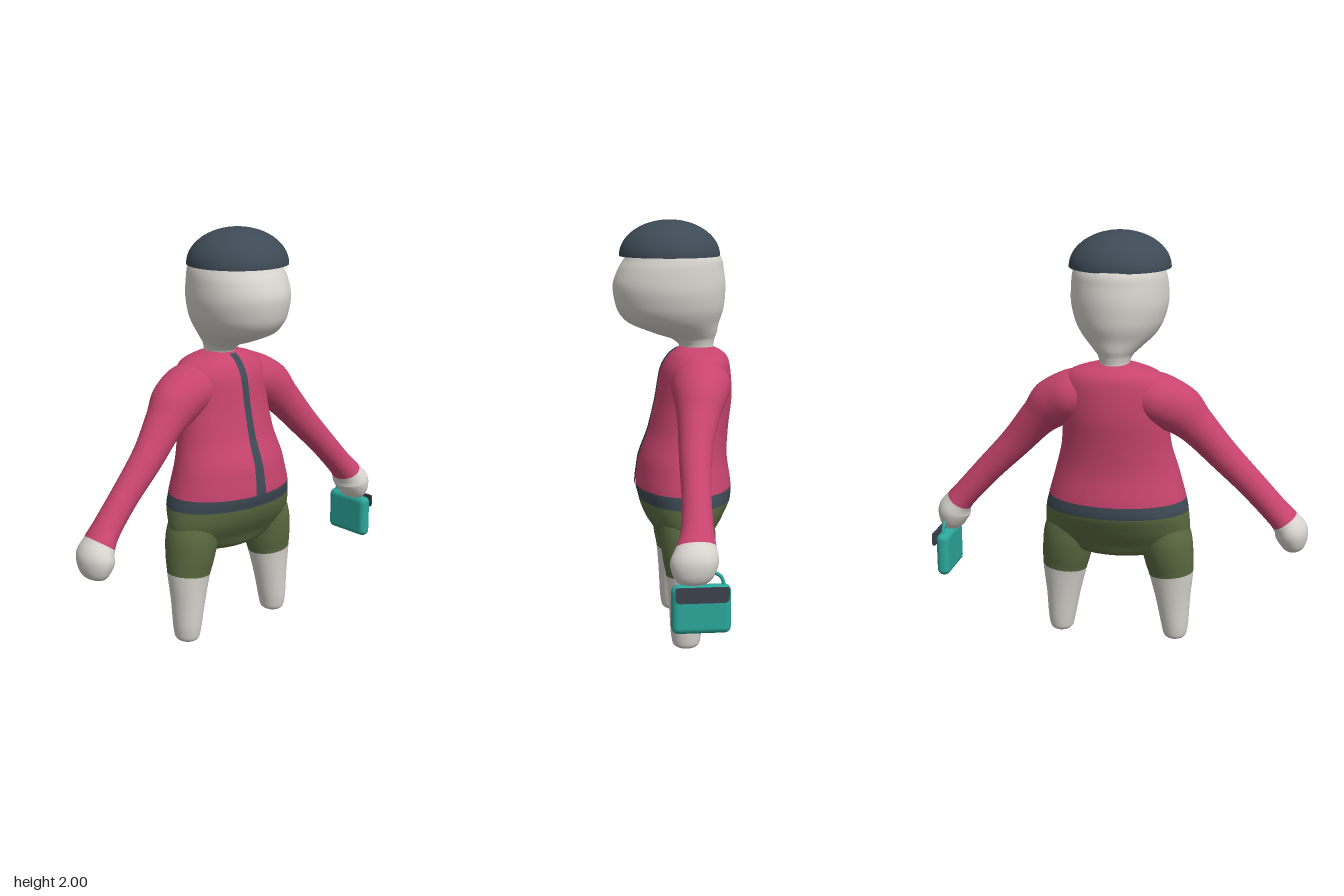
import * as THREE from 'three';
import { RoundedBoxGeometry } from 'three/addons/geometries/RoundedBoxGeometry.js';

const material = (name, color, side = THREE.FrontSide) => {
  const m = new THREE.MeshStandardMaterial({ color, side });
  m.name = name;
  return m;
};

// Smooth, overshoot-free interpolation of section keys [x, y, z, radius, radiusZ]
function sample(keys, t) {
  const i = Math.min(Math.floor(t), keys.length - 2), f = t - i;
  return keys[0].map((_, k) => {
    const d = j => keys[j + 1][k] - keys[j][k];
    const slope = j => {
      if (j === 0) return d(0);
      if (j === keys.length - 1) return d(j - 1);
      const a = d(j - 1), b = d(j);
      return a * b <= 0 ? 0 : 2 * a * b / (a + b);
    };
    const f2 = f * f, f3 = f2 * f;
    return keys[i][k] * (2 * f3 - 3 * f2 + 1) + slope(i) * (f3 - 2 * f2 + f)
      + keys[i + 1][k] * (3 * f2 - 2 * f3) + slope(i + 1) * (f3 - f2);
  });
}

// Elliptical sections swept along the keys; mats gives one material index per key span
function loft(keys, spanMats) {
  const N = 40, S = 7, pos = [], idx = [];
  const g = new THREE.BufferGeometry();
  const last = keys.length - 1;
  for (let r = 0; r <= last * S; r++) {
    const t = r / S;
    const c = sample(keys, t);
    const p = sample(keys, Math.max(0, t - 0.1)), q = sample(keys, Math.min(last, t + 0.1));
    const len = Math.hypot(q[0] - p[0], q[1] - p[1]);
    const ux = -(q[1] - p[1]) / len, uy = (q[0] - p[0]) / len;
    for (let j = 0; j < N; j++) {
      const a = j / N * Math.PI * 2, u = c[3] * Math.cos(a);
      pos.push(c[0] + ux * u, c[1] + uy * u, c[2] + c[4] * Math.sin(a));
    }
  }
  for (let r = 0; r < last * S; r++) {
    if (spanMats && r % S === 0) g.addGroup(idx.length, S * N * 6, spanMats[r / S]);
    for (let j = 0; j < N; j++) {
      const k = (j + 1) % N, a = r * N + j, b = r * N + k;
      idx.push(a, b, a + N, b, b + N, a + N);
    }
  }
  g.setAttribute('position', new THREE.Float32BufferAttribute(pos, 3));
  g.setIndex(idx);
  g.computeVertexNormals();
  return g;
}

export function createModel() {
  const model = new THREE.Group();
  model.name = 'figure';
  const skin = material('pale skin', 0xd8d5cf);
  const red = material('raspberry jacket', 0xc8446f);
  const slate = material('slate trim', 0x3d4a55, THREE.DoubleSide);
  const green = material('olive shorts', 0x5b6b41);
  const teal = material('teal bag', 0x2ba89c);
  const dark = material('dark flap', 0x3b414c);
  const add = (name, geo, mat, parent = model) => {
    const m = new THREE.Mesh(geo, mat);
    m.name = name;
    parent.add(m);
    return m;
  };

  // Torso: jacket, waistband and seat of the shorts
  const torso = [
    [0, 1.405, -0.11, 0.07, 0.075], [0, 1.39, -0.115, 0.14, 0.105],
    [0, 1.36, -0.118, 0.215, 0.14], [0, 1.3, -0.11, 0.25, 0.165],
    [0, 1.18, -0.103, 0.25, 0.18], [0, 1.02, -0.077, 0.262, 0.19],
    [0, 0.86, -0.048, 0.302, 0.215], [0, 0.74, -0.05, 0.335, 0.23],
    [0, 0.68, -0.055, 0.348, 0.222], [0, 0.6, -0.05, 0.355, 0.19],
    [0, 0.52, -0.05, 0.325, 0.14], [0, 0.455, -0.05, 0.19, 0.1],
    [0, 0.437, -0.05, 0, 0],
  ];
  add('torso', loft(torso, [0, 0, 0, 0, 0, 0, 0, 1, 2, 2, 2, 2]), [red, slate, green]);

  // Front zip strip, following the chest and widening at the hem
  const zipPos = [], zipIdx = [], rows = 48;
  for (let r = 0; r <= rows; r++) {
    const [, y, z, rx, rz] = sample(torso, 0.4 + 6.6 * r / rows);
    const w = 0.02 + 0.011 * Math.max(0, (1.05 - y) / 0.31);
    for (const s of [-1, 0, 1]) {
      zipPos.push(s * w, y, z + rz * Math.sqrt(1 - (s * w / rx) ** 2) + 0.005);
    }
    if (r < rows) {
      for (const c of [0, 1]) {
        const a = r * 3 + c;
        zipIdx.push(a, a + 3, a + 1, a + 1, a + 3, a + 4);
      }
    }
  }
  const zip = new THREE.BufferGeometry();
  zip.setAttribute('position', new THREE.Float32BufferAttribute(zipPos, 3));
  zip.setIndex(zipIdx);
  zip.computeVertexNormals();
  add('frontZip', zip, slate);

  // Head and neck
  add('head', loft([
    [0, 1.95, 0.01, 0, 0], [0, 1.92, 0.01, 0.13, 0.14],
    [0, 1.83, -0.003, 0.212, 0.225], [0, 1.77, 0.008, 0.226, 0.25],
    [0, 1.69, 0.016, 0.23, 0.267], [0, 1.6, 0.012, 0.213, 0.257],
    [0, 1.53, 0, 0.178, 0.225], [0, 1.47, -0.06, 0.115, 0.152],
    [0, 1.435, -0.103, 0.08, 0.097], [0, 1.4, -0.115, 0.07, 0.08],
    [0, 1.37, -0.115, 0.07, 0.08],
  ]), skin);

  // Domed cap with a flat underside
  const cap = new THREE.Group();
  cap.name = 'cap';
  cap.position.set(0, 1.832, 0.014);
  model.add(cap);
  const dome = new THREE.SphereGeometry(1, 48, 20, 0, Math.PI * 2, 0, Math.PI / 2);
  add('capDome', dome.scale(0.24, 0.168, 0.238), slate, cap);
  const under = new THREE.CircleGeometry(1, 48).rotateX(Math.PI / 2);
  add('capUnderside', under.scale(0.24, 1, 0.238), slate, cap);

  // Arms with hands, and legs with shorts
  const arm = [
    [0.08, 1.28, -0.11, 0.085, 0.12], [0.2, 1.24, -0.112, 0.122, 0.138],
    [0.295, 1.19, -0.1, 0.12, 0.12], [0.38, 1.11, -0.08, 0.093, 0.095],
    [0.5, 0.975, -0.055, 0.077, 0.075], [0.65, 0.82, -0.042, 0.067, 0.066],
    [0.755, 0.705, -0.033, 0.064, 0.072], [0.807, 0.645, -0.022, 0.067, 0.088],
    [0.839, 0.59, -0.012, 0.08, 0.105], [0.85, 0.535, -0.008, 0.065, 0.09],
    [0.853, 0.5, -0.005, 0.04, 0.06], [0.854, 0.487, -0.005, 0, 0],
  ];
  const leg = [
    [0.2, 0.64, -0.05, 0.11, 0.13], [0.238, 0.53, -0.05, 0.127, 0.13],
    [0.255, 0.43, -0.048, 0.12, 0.118], [0.266, 0.35, -0.045, 0.109, 0.1],
    [0.277, 0.2, -0.04, 0.083, 0.083], [0.286, 0.07, -0.037, 0.066, 0.072],
    [0.287, 0.022, -0.037, 0.056, 0.062], [0.287, 0.006, -0.037, 0.038, 0.042],
    [0.287, 0, -0.037, 0, 0],
  ];
  for (const [side, s] of [['left', 1], ['right', -1]]) {
    const mirror = keys => keys.map(([x, ...rest]) => [x * s, ...rest]);
    add(side + 'Arm', loft(mirror(arm), [0, 0, 0, 0, 0, 0, 0, 1, 1, 1, 1]), [red, skin]);
    add(side + 'Leg', loft(mirror(leg), [0, 0, 0, 1, 1, 1, 1, 1]), [green, skin]);
  }

  // Handbag hanging from the left hand
  const bag = new THREE.Group();
  bag.name = 'handbag';
  bag.position.set(0.866, 0.39, -0.038);
  model.add(bag);
  add('bagBody', new RoundedBoxGeometry(0.064, 0.215, 0.256, 5, 0.03), teal, bag);
  const handle = new THREE.CatmullRomCurve3([
    [0, 0.09, 0.075], [0, 0.14, 0.06], [0, 0.162, 0.01],
    [0, 0.162, -0.045], [0, 0.14, -0.085], [0, 0.09, -0.1],
  ].map(p => new THREE.Vector3(...p)));
  add('bagHandle', new THREE.TubeGeometry(handle, 32, 0.008, 10), teal, bag);

  // Flap plate with rounded corners on the outer side
  const w = 0.115, top = 0.108, low = 0.04, c = 0.025;
  const flap = new THREE.Shape();
  flap.moveTo(-w + c, low);
  flap.lineTo(w - c, low);
  flap.quadraticCurveTo(w, low, w, low + c);
  flap.lineTo(w, top - 0.008);
  flap.quadraticCurveTo(w, top, w - 0.008, top);
  flap.lineTo(-w + 0.008, top);
  flap.quadraticCurveTo(-w, top, -w, top - 0.008);
  flap.lineTo(-w, low + c);
  flap.quadraticCurveTo(-w, low, -w + c, low);
  const flapGeo = new THREE.ExtrudeGeometry(flap, { depth: 0.009, bevelEnabled: false });
  add('bagFlap', flapGeo.rotateY(Math.PI / 2).translate(0.043, 0, 0), dark, bag);
  return model;
}
